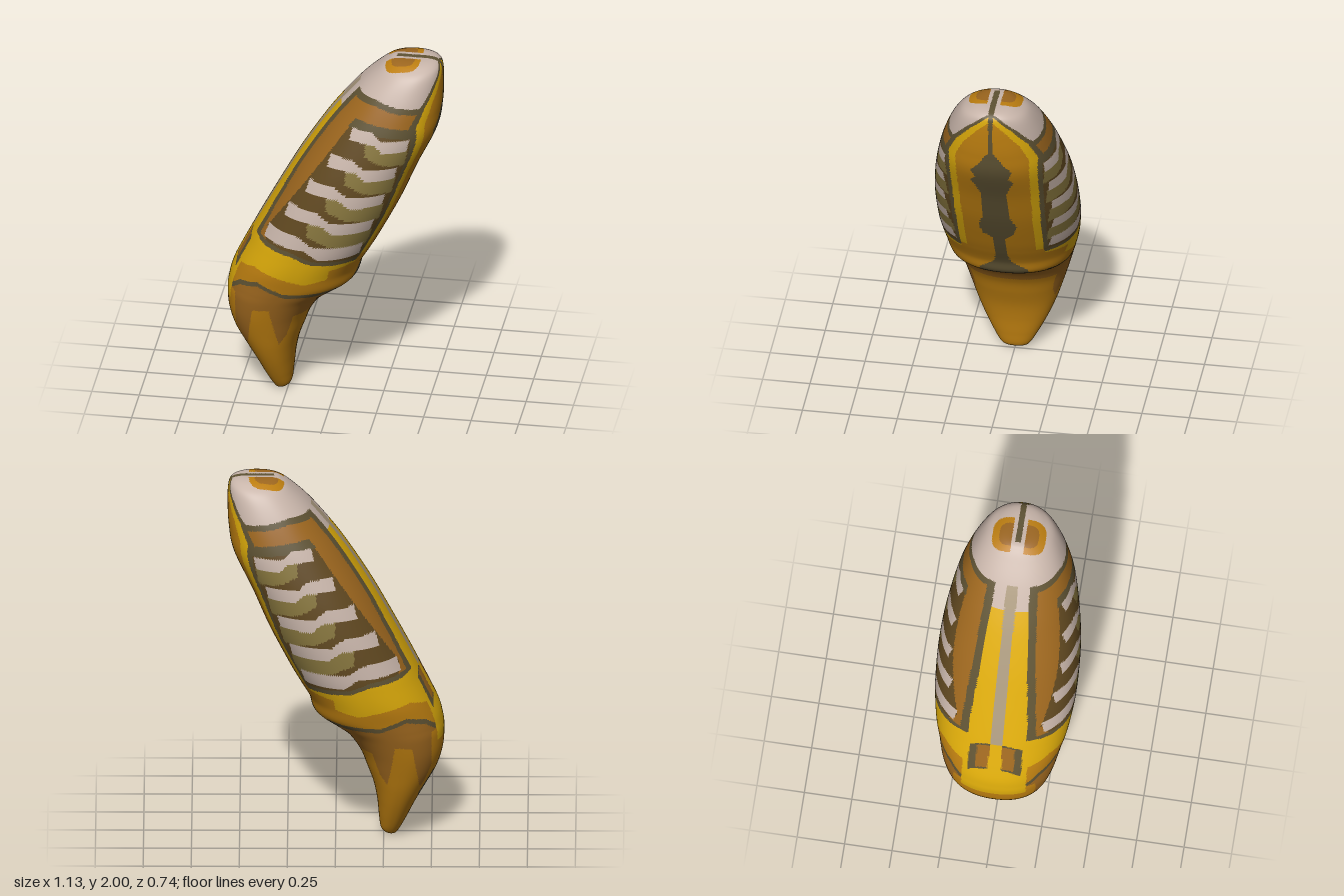
import * as THREE from 'three';

// Cross-sections from tip to crown: [height, back x, belly x, half depth]
const SECTIONS = [
  [0, -0.29, -0.29, 0], [0.005, -0.315, -0.265, 0.05], [0.03, -0.335, -0.235, 0.08], [0.1, -0.372, -0.225, 0.122],
  [0.2, -0.42, -0.215, 0.172], [0.3, -0.475, -0.195, 0.213], [0.4, -0.53, -0.16, 0.245], [0.5, -0.56, -0.12, 0.274],
  [0.6, -0.566, -0.05, 0.3], [0.66, -0.558, 0.03, 0.315], [0.72, -0.542, 0.115, 0.33], [0.8, -0.505, 0.142, 0.348],
  [0.9, -0.455, 0.2, 0.362], [1.0, -0.405, 0.255, 0.37], [1.2, -0.3, 0.355, 0.37], [1.4, -0.19, 0.44, 0.352],
  [1.6, -0.065, 0.533, 0.315], [1.73, 0.03, 0.557, 0.278], [1.85, 0.13, 0.563, 0.232], [1.94, 0.225, 0.56, 0.18],
  [1.98, 0.275, 0.545, 0.125], [1.998, 0.315, 0.5, 0.07], [2, 0.4, 0.4, 0],
];
const ROWS = 340, COLS = 200, ROUNDNESS = 2.25;

// Piecewise linear lookup through [input, output] points
function along(points, v) {
  if (v <= points[0][0]) return points[0][1];
  for (let i = 1; i < points.length; i++) {
    const [a, p] = points[i - 1], [b, q] = points[i];
    if (v <= b) return p + (q - p) * (v - a) / (b - a);
  }
  return points[points.length - 1][1];
}

function inside(poly, x, y) {
  let hit = false;
  for (let i = 0, j = poly.length - 1; i < poly.length; j = i++) {
    const [ax, ay] = poly[i], [bx, by] = poly[j];
    if ((ay > y) !== (by > y) && x < (bx - ax) * (y - ay) / (by - ay) + ax) hit = !hit;
  }
  return hit;
}

// Borders between the painted zones, drawn on the side of the body
const CAP_EDGE = [[0.13, 1.845], [0.25, 1.84], [0.35, 1.815], [0.48, 1.8]];
const PANEL_EDGE = [[-0.4, 1.005], [-0.35, 0.99], [-0.18, 0.97], [-0.08, 0.93], [0.17, 0.915]];
const YELLOW_EDGE = [[-0.56, 0.76], [-0.52, 0.78], [-0.39, 0.83], [-0.25, 0.8], [-0.12, 0.77], [0, 0.8], [0.01, 0.86], [0.2, 0.89]];
const COLLAR_EDGE = [[-0.56, 0.64], [-0.47, 0.72], [-0.37, 0.75], [-0.23, 0.7], [-0.04, 0.705], [0.13, 0.73]];
// Half widths of the belly band, belly ridge and back band by height
const BELLY_BAND = [[0.9, 0.22], [1.7, 0.235], [1.8, 0.19], [1.9, 0.11], [1.97, 0.03], [1.985, 0]];
const RIDGE = [[0.61, 0], [0.63, 0.06], [0.7, 0.13], [0.74, 0.13], [0.8, 0.05], [0.84, 0.035], [1.04, 0.035], [1.08, 0.08],
  [1.15, 0.1], [1.24, 0.07], [1.44, 0.07], [1.5, 0.09], [1.55, 0.115], [1.58, 0.085], [1.63, 0.11], [1.69, 0.06], [1.74, 0.03], [1.76, 0.012], [1.97, 0.012]];
const BACK_BAND = [[1.03, 0.155], [1.84, 0.09]];

const INNER_PANEL = [[0.14, 1.735], [0.7, 1.66], [0.7, 0.8], [-0.33, 0.8], [-0.33, 1.05]];
const INNER_TOP = [[0.14, 1.735], [0.7, 1.66], [0.7, 1.61], [0.1, 1.685]];
const STRIPE = [[0, 0], [0.35, 0.1], [0.5, 0.75], [1, 0.75], [0.95, 1.75], [0.55, 1.8], [0.4, 1.1], [-0.05, 0.95]];
const LOBE = [[0.24, 1], [0.4, 1.1], [0.55, 1.8], [0.97, 1.7], [0.9, 3.1], [0.5, 2.8], [0.36, 2.4], [0.24, 2.1]];
const stripes = [], lobes = [];
for (let i = 0; i < 5; i++) {
  const place = ([u, v]) => [0.127 - 0.111 * i + u * (0.3 + 0.05 * i), 1.69 - 0.154 * i - v * (0.065 + 0.003 * i)];
  stripes.push(STRIPE.map(place));
  if (i < 4) lobes.push(LOBE.map(place));
}
const TAIL_SHADE = [[-0.6, 0.8], [-0.6, 0.66], [-0.5, 0.64], [-0.5, 0.45], [-0.44, 0.3], [-0.42, 0.45], [-0.4, 0.57],
  [-0.31, 0.58], [-0.29, 0.45], [-0.27, 0.34], [-0.23, 0.4], [-0.19, 0.53], [0.2, 0.53], [0.2, 0.8]];

// Chooses the painted part for a point; depth is the distance from the middle plane
function partAt(x, y, depth, middle) {
  const belly = x > middle;
  const collar = along(COLLAR_EDGE, x);
  if (belly && y > 0.61 && depth < along(RIDGE, y)) return 'bellyRidge';
  // Lower belly under the band
  if (belly && y > 0.7 && y < 0.92 && depth < 0.22) return 'bellyBand';
  // Two-block patch on the back
  if (!belly && y < 1 && x > -0.51 && x < -0.43 && depth > 0.035 && depth < 0.14) {
    return depth < 0.1 && x > -0.505 && x < -0.435 ? 'backBlock' : 'outline';
  }
  // Yellow rim running down the back
  if (!belly && y < 0.8 && depth < 0.17) return y > 0.58 ? 'yellowBody' : 'tail';
  // Tail tip
  if (y < collar - 0.025) {
    if (belly && y < 0.52 && depth < 0.18) return 'tail';
    return inside(TAIL_SHADE, x, y) ? 'tailShade' : 'tail';
  }
  if (y < collar) return belly && depth < 0.22 ? 'tailShade' : 'collarLine';
  if (!belly && y > 0.95 && y < 1.85 && depth < 0.03) return 'backSeam';
  // Belly band
  const band = along(BELLY_BAND, y);
  if (belly && y > 0.92) {
    if (depth < band - 0.04) return 'bellyBand';
    if (depth < band) return 'bellyEdge';
    if (band > 0 && depth < band + 0.022) return 'outline';
  }
  // Head cap with its two crown spots
  const cap = along(CAP_EDGE, x);
  if (y > cap) {
    const spot = (Math.abs(x - 0.36) / 0.092) ** 3 + (Math.abs(depth - 0.03) / 0.11) ** 3;
    if (y > 1.93 && depth > 0.035 && spot < 1) return spot < 0.3 ? 'crownSpotCentre' : 'crownSpot';
    if (x > 0.32 && x < 0.53 && depth < 0.015) return 'outline';
    return 'headCap';
  }
  // Yellow back and waist
  const panel = along(PANEL_EDGE, x);
  if (y < panel - 0.025) return y > along(YELLOW_EDGE, x) ? 'yellowBody' : 'collarBand';
  const back = along(BACK_BAND, y);
  if (!belly && depth < back) return y > 1.73 ? 'headCap' : 'yellowBody';
  // Side panel with stripes
  if (y < panel || y > cap - 0.03 || (!belly && depth < back + 0.042)) return 'outline';
  if (stripes.some((p) => inside(p, x, y))) return 'sideStripes';
  if (lobes.some((p) => inside(p, x, y))) return 'sideLobes';
  if (inside(INNER_TOP, x, y)) return 'outline';
  return inside(INNER_PANEL, x, y) ? 'stripeGaps' : 'sidePanel';
}

export function createModel() {
  const paint = (name, color) => {
    const m = new THREE.MeshStandardMaterial({ color });
    m.name = name;
    return m;
  };
  const cream = paint('cream', 0xc8b5aa), dark = paint('dark olive', 0x5e5233), brown = paint('brown', 0x9c661e);
  const amber = paint('amber', 0xbc7e10), yellow = paint('yellow', 0xdaa90a), olive = paint('olive', 0x87763e);
  const umber = paint('umber', 0x604820), taupe = paint('taupe', 0xa8977c);
  const parts = {
    headCap: cream, crownSpot: amber, crownSpotCentre: brown, outline: dark, bellyRidge: dark, bellyBand: amber,
    bellyEdge: yellow, backSeam: taupe, backBlock: brown, yellowBody: yellow, collarBand: amber, collarLine: dark,
    sidePanel: brown, sideStripes: cream, sideLobes: olive, stripeGaps: umber, tail: amber, tailShade: brown,
  };

  // Full, rounded sections lofted along two smooth edge curves
  const edge = (k) => new THREE.CatmullRomCurve3(SECTIONS.map((s) => new THREE.Vector3(s[k], s[0], s[3])), false, 'catmullrom', 0.5);
  const backCurve = edge(1), bellyCurve = edge(2);
  const swell = (v) => Math.sign(v) * Math.abs(v) ** (2 / ROUNDNESS);
  const positions = [], middles = [];
  for (let r = 0; r <= ROWS; r++) {
    const a = backCurve.getPoint(r / ROWS), b = bellyCurve.getPoint(r / ROWS);
    const middle = (a.x + b.x) / 2, half = (b.x - a.x) / 2;
    middles.push(middle);
    for (let c = 0; c < COLS; c++) {
      const t = (c / COLS) * Math.PI * 2;
      positions.push(middle + half * swell(Math.cos(t)), THREE.MathUtils.clamp(a.y, 0, 2), Math.max(a.z, 0) * swell(Math.sin(t)));
    }
  }

  // Sort every face into its painted part
  const all = [], faces = {};
  const addFace = (row, ...ids) => {
    const mean = (k) => ids.reduce((sum, id) => sum + positions[id * 3 + k], 0) / 3;
    const part = partAt(mean(0), mean(1), Math.abs(mean(2)), middles[row]);
    (faces[part] ??= []).push(...ids);
    all.push(...ids);
  };
  for (let r = 0; r < ROWS; r++) {
    for (let c = 0; c < COLS; c++) {
      const a = r * COLS + c, b = r * COLS + (c + 1) % COLS;
      if (r > 0) addFace(r, a, a + COLS, b);
      if (r < ROWS - 1) addFace(r, b, a + COLS, b + COLS);
    }
  }

  // All parts share one smooth set of points and normals
  const skin = new THREE.BufferGeometry();
  skin.setAttribute('position', new THREE.Float32BufferAttribute(positions, 3));
  skin.setIndex(all);
  skin.computeVertexNormals();
  const group = new THREE.Group();
  group.name = 'stripedBody';
  for (const [name, ids] of Object.entries(faces)) {
    const geometry = new THREE.BufferGeometry();
    geometry.setAttribute('position', skin.getAttribute('position'));
    geometry.setAttribute('normal', skin.getAttribute('normal'));
    geometry.setIndex(ids);
    const mesh = new THREE.Mesh(geometry, parts[name]);
    mesh.name = name;
    group.add(mesh);
  }
  return group;
}
